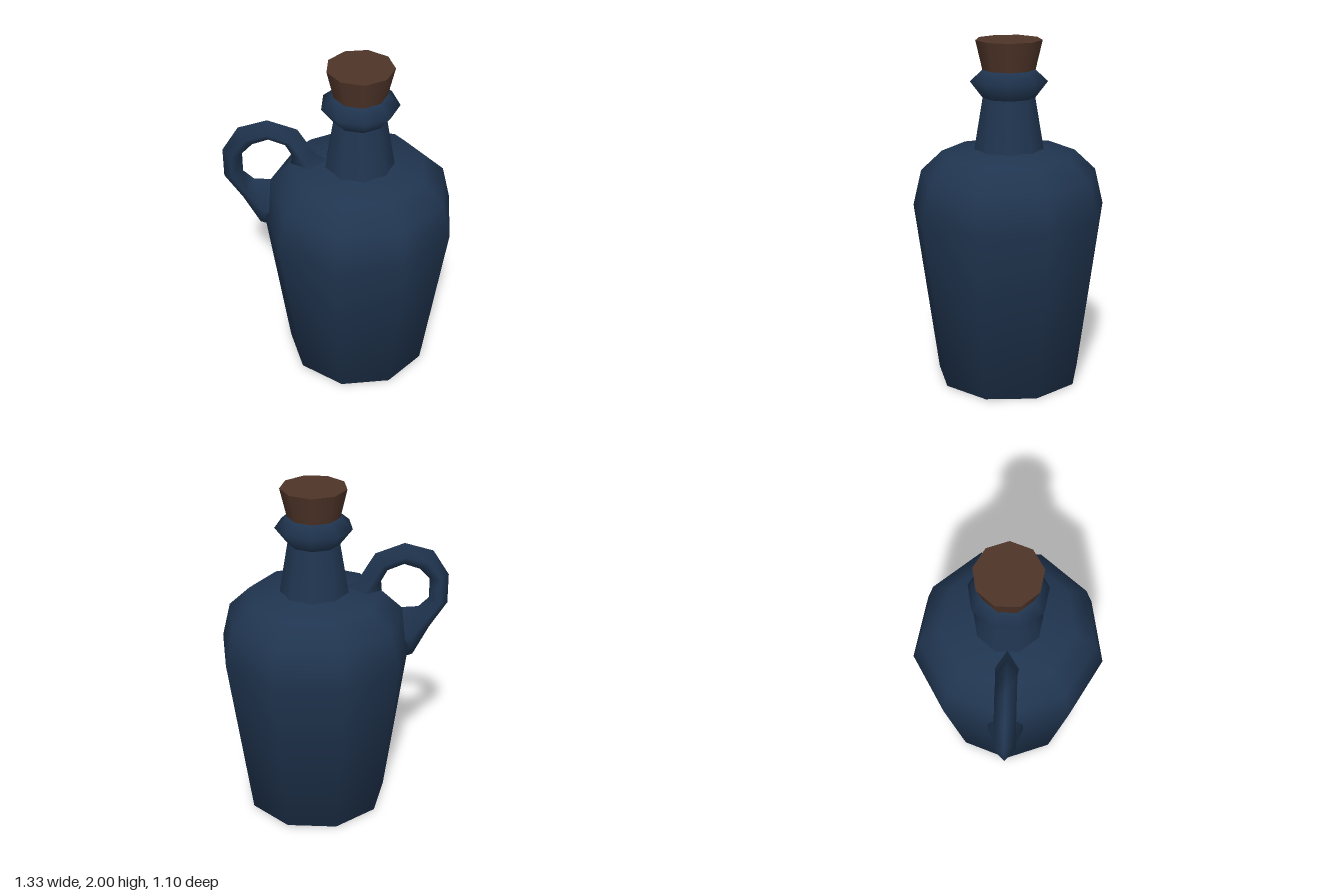
import * as THREE from 'three';

const SIDES = 9;
const CX = 0.105, CZ = -0.02; // bottle axis

const glass = new THREE.MeshStandardMaterial({ color: 0x203550 });
const corkMat = new THREE.MeshStandardMaterial({ color: 0x4e3428 });

// Nine-sided turned part from [radius, height] pairs
function turned(name, profile, phase, material) {
  const points = profile.map(([r, y]) => new THREE.Vector2(r, y));
  const mesh = new THREE.Mesh(new THREE.LatheGeometry(points, SIDES, phase), material);
  mesh.name = name;
  mesh.position.set(CX, 0, CZ);
  return mesh;
}

// Diamond-section loop, swept through [outerX, outerY, innerX, innerY, halfWidth]
function handleGeometry(sections) {
  const positions = [], index = [];
  const dir = THREE.MathUtils.degToRad(280); // the handle leans toward a body corner
  const dx = Math.sin(dir), dz = Math.cos(dir);
  const add = (x, y, w) => {
    const u = (x - CX) / dx; // distance from the bottle axis
    positions.push(CX + u * dx + w * dz, y, CZ + u * dz - w * dx);
  };
  sections.forEach(([ox, oy, ix, iy, w], i) => {
    const mx = (ox + ix) / 2, my = (oy + iy) / 2;
    add(ox, oy, 0);
    add(mx, my, w);
    add(ix, iy, 0);
    add(mx, my, -w);
    if (i === 0) return;
    for (let j = 0; j < 4; j++) {
      const a = (i - 1) * 4 + j, b = (i - 1) * 4 + (j + 1) % 4;
      index.push(a, a + 4, b, b, a + 4, b + 4);
    }
  });
  const geometry = new THREE.BufferGeometry();
  geometry.setAttribute('position', new THREE.Float32BufferAttribute(positions, 3));
  geometry.setIndex(index);
  geometry.computeVertexNormals();
  return geometry;
}

export function createModel() {
  const group = new THREE.Group();
  group.name = 'jug';

  // Body with tapered wall and rounded shoulder
  group.add(turned('body', [
    [0, 0], [0.425, 0], [0.565, 1.02], [0.515, 1.23], [0.39, 1.35], [0.18, 1.385],
  ], 0, glass));

  // Neck and lip, turned half a step from the body
  group.add(turned('neck', [[0.202, 1.37], [0.2, 1.385], [0.15, 1.68]], Math.PI, glass));
  group.add(turned('lip', [
    [0.15, 1.675], [0.222, 1.77], [0.15, 1.835], [0, 1.835],
  ], Math.PI, glass));

  // Cork stopper
  const cork = new THREE.Mesh(
    new THREE.CylinderGeometry(0.19, 0.148, 0.18, SIDES, 1, false, Math.PI), corkMat);
  cork.name = 'cork';
  cork.position.set(CX, 1.91, CZ);
  group.add(cork);

  // Loop handle from the shoulder down to the side wall
  const handle = new THREE.Mesh(handleGeometry([
    [-0.05, 1.35, -0.27, 1.31, 0.07],
    [-0.08, 1.39, -0.28, 1.355, 0.067],
    [-0.145, 1.43, -0.275, 1.41, 0.064],
    [-0.24, 1.585, -0.31, 1.475, 0.06],
    [-0.405, 1.64, -0.405, 1.51, 0.06],
    [-0.57, 1.585, -0.495, 1.475, 0.06],
    [-0.665, 1.43, -0.555, 1.41, 0.06],
    [-0.665, 1.25, -0.555, 1.29, 0.06],
    [-0.565, 1.1, -0.495, 1.235, 0.065],
    [-0.47, 0.92, -0.41, 1.235, 0.1],
    [-0.4, 0.9, -0.33, 1.22, 0.1],
  ]), glass);
  handle.name = 'handle';
  group.add(handle);

  return group;
}
